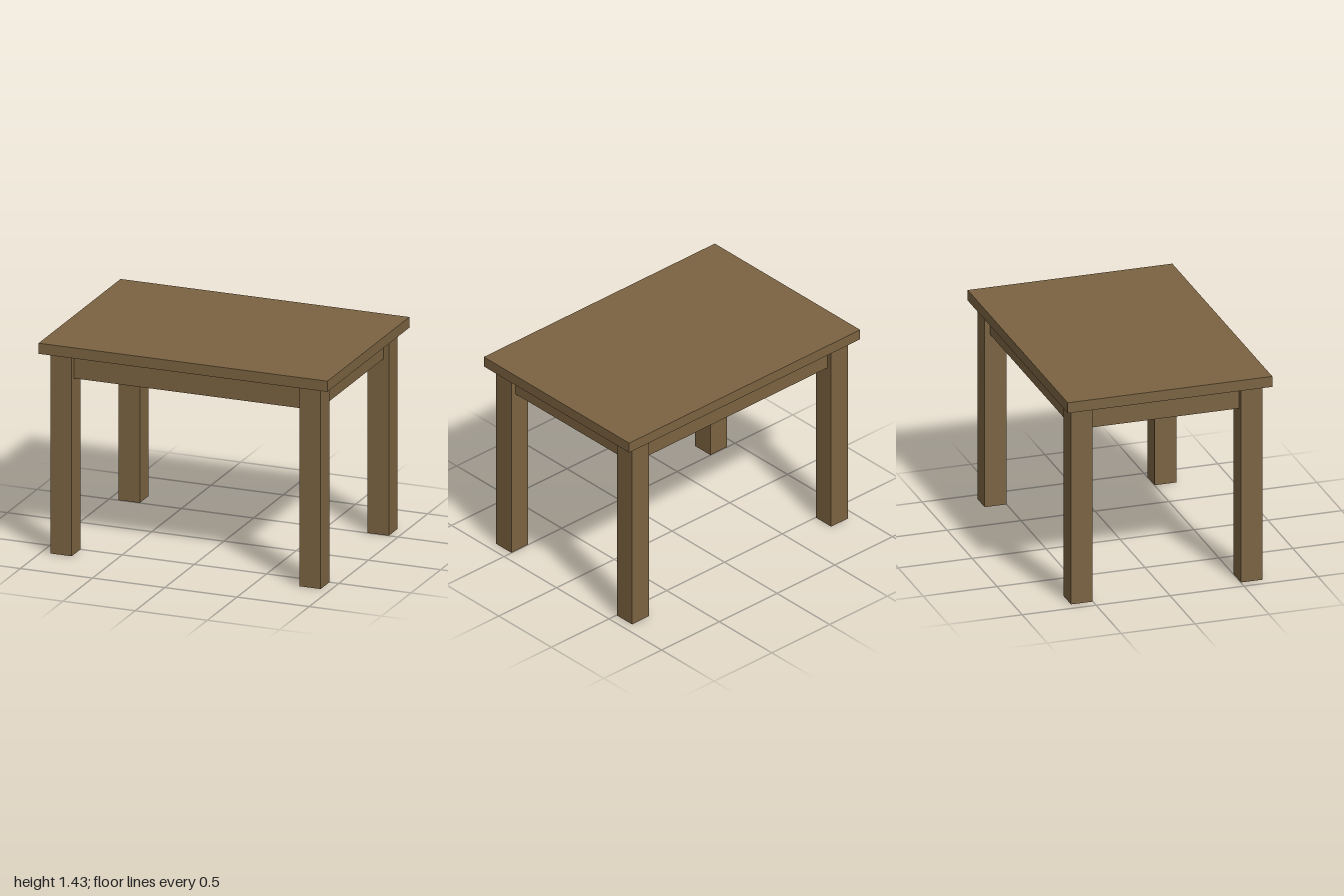
import * as THREE from 'three';

export function createModel() {
  const group = new THREE.Group();
  const wood = new THREE.MeshStandardMaterial({ color: 0x7b6341 });

  function addBox(name, w, h, d, x, y, z) {
    const mesh = new THREE.Mesh(new THREE.BoxGeometry(w, h, d), wood);
    mesh.name = name;
    mesh.position.set(x, y, z);
    group.add(mesh);
  }

  const height = 1.428, topThickness = 0.072, legHeight = height - topThickness;
  const legSize = 0.146, legX = 0.862, legZ = 0.575;
  const apronHeight = 0.164, apronThickness = 0.073;
  const apronY = legHeight - apronHeight / 2;

  // Table top
  addBox('tableTop', 2, topThickness, 1.384, 0, height - topThickness / 2, 0);

  for (const s of [1, -1]) {
    // Legs
    for (const t of [1, -1]) {
      const name = (t > 0 ? 'front' : 'back') + (s > 0 ? 'Left' : 'Right') + 'Leg';
      addBox(name, legSize, legHeight, legSize, s * legX, legHeight / 2, t * legZ);
    }
    // Aprons, set back from the leg faces and running between the legs
    addBox(s > 0 ? 'frontApron' : 'backApron',
      2 * legX - legSize, apronHeight, apronThickness, 0, apronY, s * legZ);
    addBox(s > 0 ? 'leftApron' : 'rightApron',
      apronThickness, apronHeight, 2 * legZ - legSize, s * legX, apronY, 0);
  }

  return group;
}
